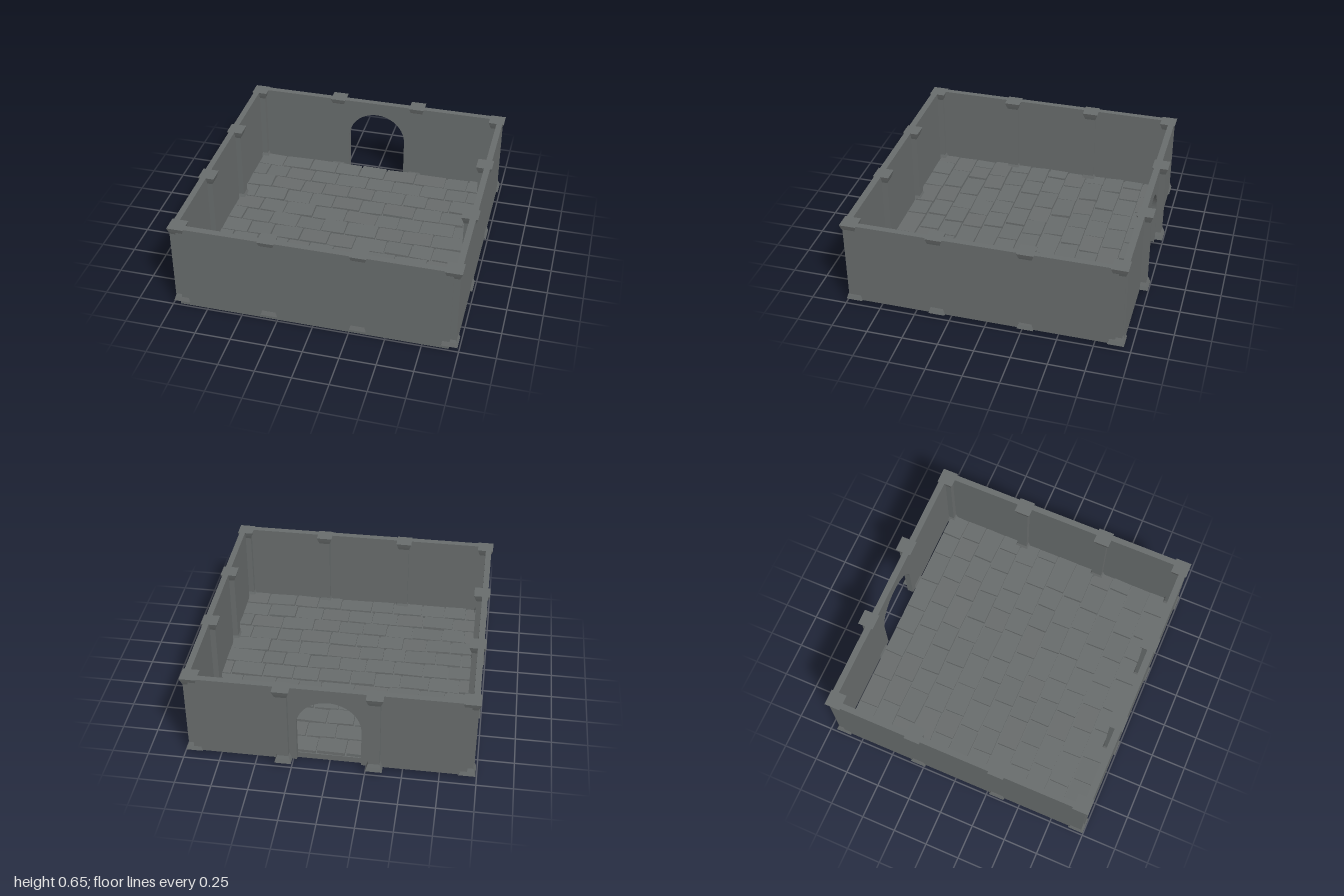
import * as THREE from 'three';

const stone = new THREE.MeshStandardMaterial({ color: 0x686c6c });
stone.name = 'dark grey stone';

const BASE = 0.03, TOP = 0.65;

function add(parent, name, geometry, x = 0, y = 0, z = 0) {
  const mesh = new THREE.Mesh(geometry, stone);
  mesh.name = name;
  mesh.position.set(x, y, z);
  parent.add(mesh);
  return mesh;
}

// Box given by its limits on each axis
function block(parent, name, [x0, x1], [y0, y1], [z0, z1]) {
  return add(parent, name, new THREE.BoxGeometry(x1 - x0, y1 - y0, z1 - z0),
    (x0 + x1) / 2, (y0 + y1) / 2, (z0 + z1) / 2);
}

// Square pillar with a flared foot and head
function pillarGeometry() {
  const profile = [[0, BASE], [0.057, BASE], [0.048, 0.06], [0.039, 0.085],
    [0.039, 0.595], [0.048, 0.62], [0.057, TOP], [0, TOP]]
    .map(([half, y]) => new THREE.Vector2(half * Math.SQRT2, y));
  const geometry = new THREE.LatheGeometry(profile, 4).rotateY(Math.PI / 4).toNonIndexed();
  geometry.computeVertexNormals();
  return geometry;
}

// Back wall with an arched doorway, extruded along z
function archWallGeometry(half, doorHalf, spring, depth) {
  const s = new THREE.Shape();
  s.moveTo(-half, BASE);
  s.lineTo(-doorHalf, BASE);
  s.lineTo(-doorHalf, spring);
  s.absarc(0, spring, doorHalf, Math.PI, 0, true);
  s.lineTo(doorHalf, BASE);
  s.lineTo(half, BASE);
  s.lineTo(half, TOP);
  s.lineTo(-half, TOP);
  s.closePath();
  return new THREE.ExtrudeGeometry(s, { depth, bevelEnabled: false, curveSegments: 20 });
}

export function createModel() {
  const model = new THREE.Group();
  model.name = 'stoneRoom';

  // Floor slab
  block(model, 'floorSlab', [-0.95, 0.93], [0, 0.045], [-0.89, 0.985]);

  // Walls, stopping short of the corner posts
  block(model, 'frontWall', [-0.935, 0.935], [BASE, TOP], [0.94, 0.987]);
  block(model, 'rightWall', [-0.98, -0.938], [BASE, TOP], [-0.89, 0.98]);
  block(model, 'leftWall', [0.935, 0.978], [BASE, TOP], [-0.89, 0.98]);
  add(model, 'backWall', archWallGeometry(0.935, 0.22, 0.33, 0.045), 0, 0, -0.943);

  // Pillars at the corners, along the walls and beside the doorway
  const pillar = pillarGeometry();
  const pillars = new THREE.Group();
  pillars.name = 'pillars';
  model.add(pillars);
  for (const [name, x, z] of [
    ['cornerPillar', -0.935, -0.895], ['cornerPillar', 0.933, -0.895],
    ['cornerPillar', -0.935, 0.94], ['cornerPillar', 0.933, 0.94],
    ['rightPillar', -0.938, -0.295], ['rightPillar', -0.938, 0.325],
    ['leftPillar', 0.935, -0.278], ['leftPillar', 0.935, 0.343],
    ['frontPillar', -0.31, 0.94], ['frontPillar', 0.31, 0.94],
    ['doorPillar', -0.31, -0.943], ['doorPillar', 0.31, -0.943],
  ]) add(pillars, name, pillar, x, 0, z);

  // Paving stones in staggered rows, each slightly uneven
  const paving = new THREE.Group();
  paving.name = 'pavingStones';
  model.add(paving);
  let seed = 7;
  const rand = () => (seed = (seed * 16807) % 2147483647) / 2147483647;
  const rows = 12, z0 = -0.89, x0 = -0.935, x1 = 0.93, pitch = (0.935 - z0) / rows;
  for (let r = 0; r < rows; r++) {
    let x = x0;
    let length = r % 2 ? 0.11 : 0.2;
    while (x < x1 - 0.01) {
      let end = Math.min(x + length, x1);
      if (x1 - end < 0.07) end = x1;
      const slab = add(paving, 'pavingStone',
        new THREE.BoxGeometry(end - x - 0.012, 0.03, pitch - 0.012),
        (x + end) / 2, 0.045 + rand() * 0.008, z0 + (r + 0.5) * pitch);
      slab.rotation.set((rand() - 0.5) * 0.08, (rand() - 0.5) * 0.06, (rand() - 0.5) * 0.06);
      x = end;
      length = 0.16 + rand() * 0.09;
    }
  }
  return model;
}
